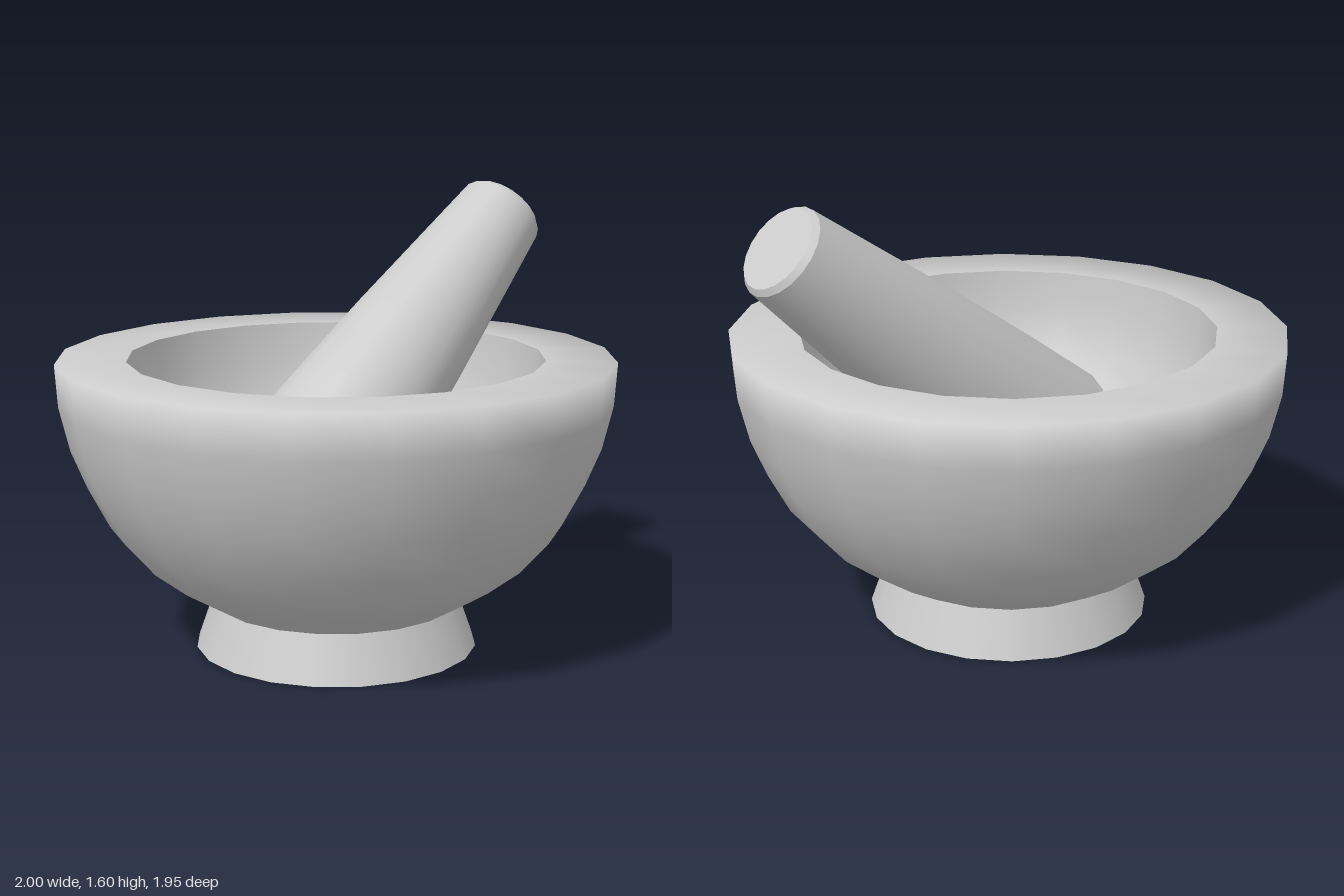
import * as THREE from 'three';

const SIDES = 20;
const TURN = 0.216; // angle of the first facet corner

const material = new THREE.MeshStandardMaterial({ color: 0xcccccc });

// One smooth surface of revolution; separate calls keep sharp edges between them.
function turned(name, profile, start = 0) {
  const points = profile.map(([r, y]) => new THREE.Vector2(r, y));
  const mesh = new THREE.Mesh(new THREE.LatheGeometry(points, SIDES, start), material);
  mesh.name = name;
  return mesh;
}

export function createModel() {
  const model = new THREE.Group();
  model.name = 'mortarAndPestle';

  // Mortar: flared foot, round bowl and thick flat rim
  const mortar = new THREE.Group();
  mortar.name = 'mortar';
  mortar.position.x = -0.02;
  mortar.add(
    turned('footBase', [[0, 0], [0.505, 0]], TURN),
    turned('foot', [[0.505, 0], [0.446, 0.168]], TURN),
    turned('bowlOutside', [
      [0.446, 0.168], [0.583, 0.25], [0.7, 0.34], [0.805, 0.46], [0.88, 0.604],
      [0.935, 0.738], [0.972, 0.893], [0.982, 1.045], [0.735, 1.045],
    ], TURN),
  );

  // Hollow: a half sphere under the inner rim
  const hollow = [];
  const depth = 0.735;
  for (let i = 0; i <= 8; i++) {
    const a = (i / 8) * Math.PI / 2;
    hollow.push([i === 8 ? 0 : 0.735 * Math.cos(a), 1.045 - depth * Math.sin(a)]);
  }
  mortar.add(turned('bowlInside', hollow, TURN));
  model.add(mortar);

  // Pestle: tapered shaft with bevelled ends, leaning on the rim
  const pestle = new THREE.Group();
  pestle.name = 'pestle';
  const foot = new THREE.Vector3(-0.165, 0.607, -0.03);
  const head = new THREE.Vector3(0.888, 1.477, 0.078);
  const length = foot.distanceTo(head);
  pestle.add(
    turned('pestleFootCap', [[0, -0.03], [0.25, -0.03]]),
    turned('pestleFootBevel', [[0.25, -0.03], [0.285, 0]]),
    turned('pestleShaft', [[0.285, 0], [0.264, 0.33], [0.234, 0.69], [0.165, length]]),
    turned('pestleHeadBevel', [[0.165, length], [0.148, length + 0.02]]),
    turned('pestleHeadCap', [[0.148, length + 0.02], [0, length + 0.02]]),
  );
  pestle.position.copy(foot);
  pestle.quaternion.setFromUnitVectors(
    new THREE.Vector3(0, 1, 0), head.clone().sub(foot).normalize());
  model.add(pestle);

  return model;
}
